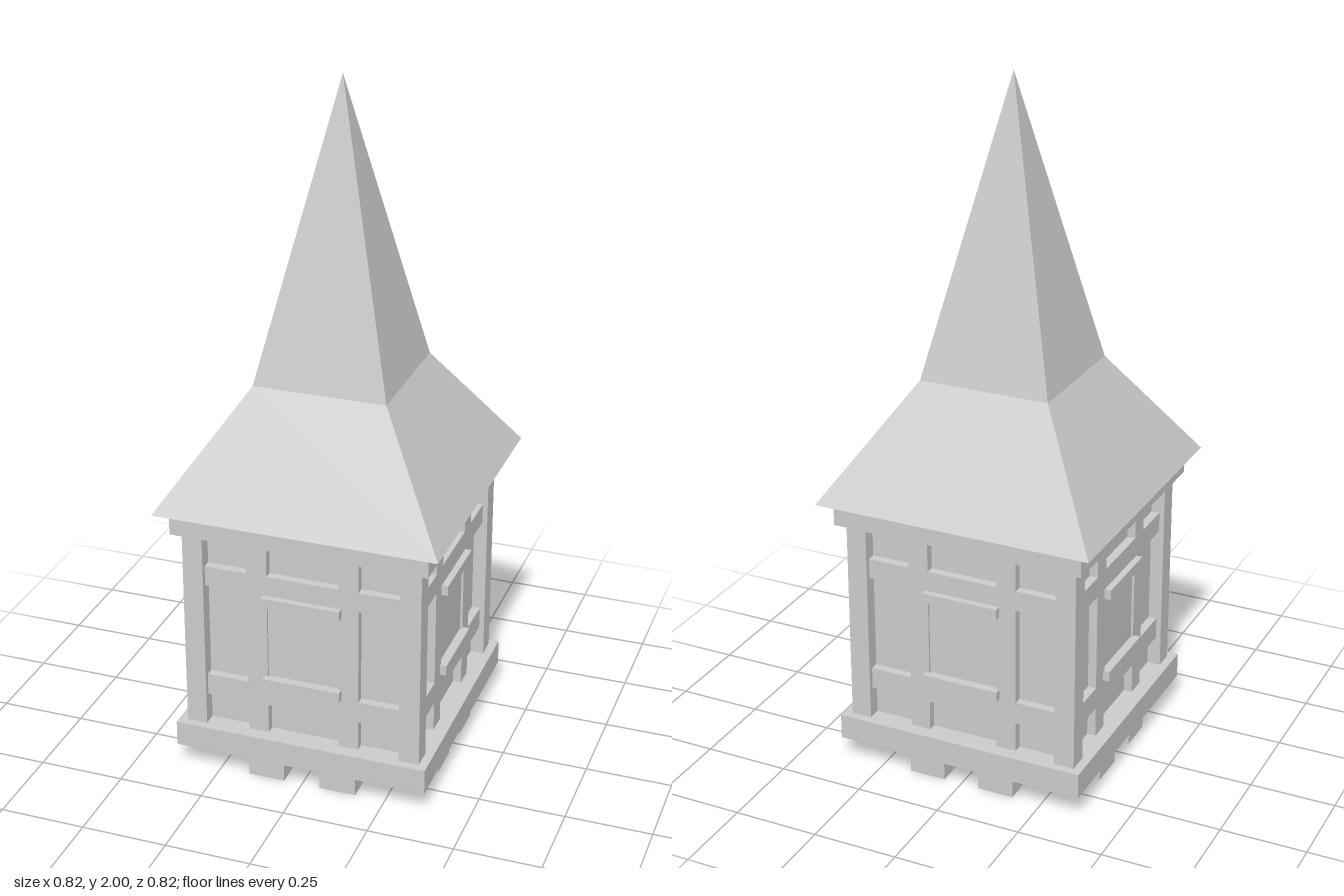
import * as THREE from 'three';

export function createModel() {
  const model = new THREE.Group();
  const mat = new THREE.MeshStandardMaterial({ color: 0xcccccc, flatShading: true });

  // Box given by its lower and upper limits on each axis
  function box(parent, name, [x0, x1], [y0, y1], [z0, z1]) {
    const mesh = new THREE.Mesh(new THREE.BoxGeometry(x1 - x0, y1 - y0, z1 - z0), mat);
    mesh.position.set((x0 + x1) / 2, (y0 + y1) / 2, (z0 + z1) / 2);
    mesh.name = name;
    parent.add(mesh);
    return mesh;
  }

  // Square spire roof with flared eaves and a flat underside
  const r = Math.SQRT2;
  const profile = [[0, 0.825], [0.412 * r, 0.825], [0.193 * r, 1.155], [0, 2]]
    .map(([x, y]) => new THREE.Vector2(x, y));
  const roofGeo = new THREE.LatheGeometry(profile, 4, Math.PI / 4).toNonIndexed();
  roofGeo.computeVertexNormals();
  const roof = new THREE.Mesh(roofGeo, mat);
  roof.name = 'roof';
  model.add(roof);

  // Square beam frames below and above the walls
  function ring(name, y0, y1) {
    const o = 0.375, i = 0.285;
    const shape = new THREE.Shape([[-o, -o], [o, -o], [o, o], [-o, o]].map(p => new THREE.Vector2(...p)));
    shape.holes.push(new THREE.Path([[-i, -i], [-i, i], [i, i], [i, -i]].map(p => new THREE.Vector2(...p))));
    const geo = new THREE.ExtrudeGeometry(shape, { depth: y1 - y0, bevelEnabled: false });
    geo.rotateX(-Math.PI / 2).translate(0, y0, 0);
    const mesh = new THREE.Mesh(geo, mat);
    mesh.name = name;
    model.add(mesh);
  }
  ring('sillFrame', 0.07, 0.145);
  ring('topFrame', 0.755, 0.825);

  // Crossed floor joists
  for (const s of [-1, 1]) {
    const span = [s * 0.108 - 0.054, s * 0.108 + 0.054];
    box(model, 'lengthwiseJoist', span, [0, 0.07], [-0.35, 0.35]);
    box(model, 'crosswiseJoist', [-0.35, 0.35], [0, 0.07], span);
  }

  // Corner posts
  for (const sx of [-1, 1]) for (const sz of [-1, 1]) {
    box(model, 'cornerPost', [sx * 0.32 - 0.03, sx * 0.32 + 0.03], [0.145, 0.755],
      [sz * 0.32 - 0.03, sz * 0.32 + 0.03]);
  }

  // Four identical timber-framed walls
  for (let k = 0; k < 4; k++) {
    const wall = new THREE.Group();
    wall.name = 'wall';
    wall.rotation.y = k * Math.PI / 2;
    const frame = [0.295, 0.335];
    box(wall, 'infill', [-0.3, 0.3], [0.145, 0.755], [0.29, 0.31]);
    box(wall, 'lowerRail', [-0.29, 0.29], [0.235, 0.3], frame);
    box(wall, 'upperRail', [-0.29, 0.29], [0.59, 0.65], frame);
    for (const s of [-1, 1]) {
      box(wall, 'stud', [s * 0.135 - 0.03, s * 0.135 + 0.03], [0.145, 0.755], frame);
    }
    // Shutter panel with a ledge above and below
    box(wall, 'shutter', [-0.105, 0.105], [0.3, 0.59], [0.295, 0.328]);
    box(wall, 'lowerLedge', [-0.115, 0.115], [0.3, 0.33], [0.31, 0.354]);
    box(wall, 'upperLedge', [-0.115, 0.115], [0.56, 0.59], [0.31, 0.354]);
    model.add(wall);
  }
  return model;
}
